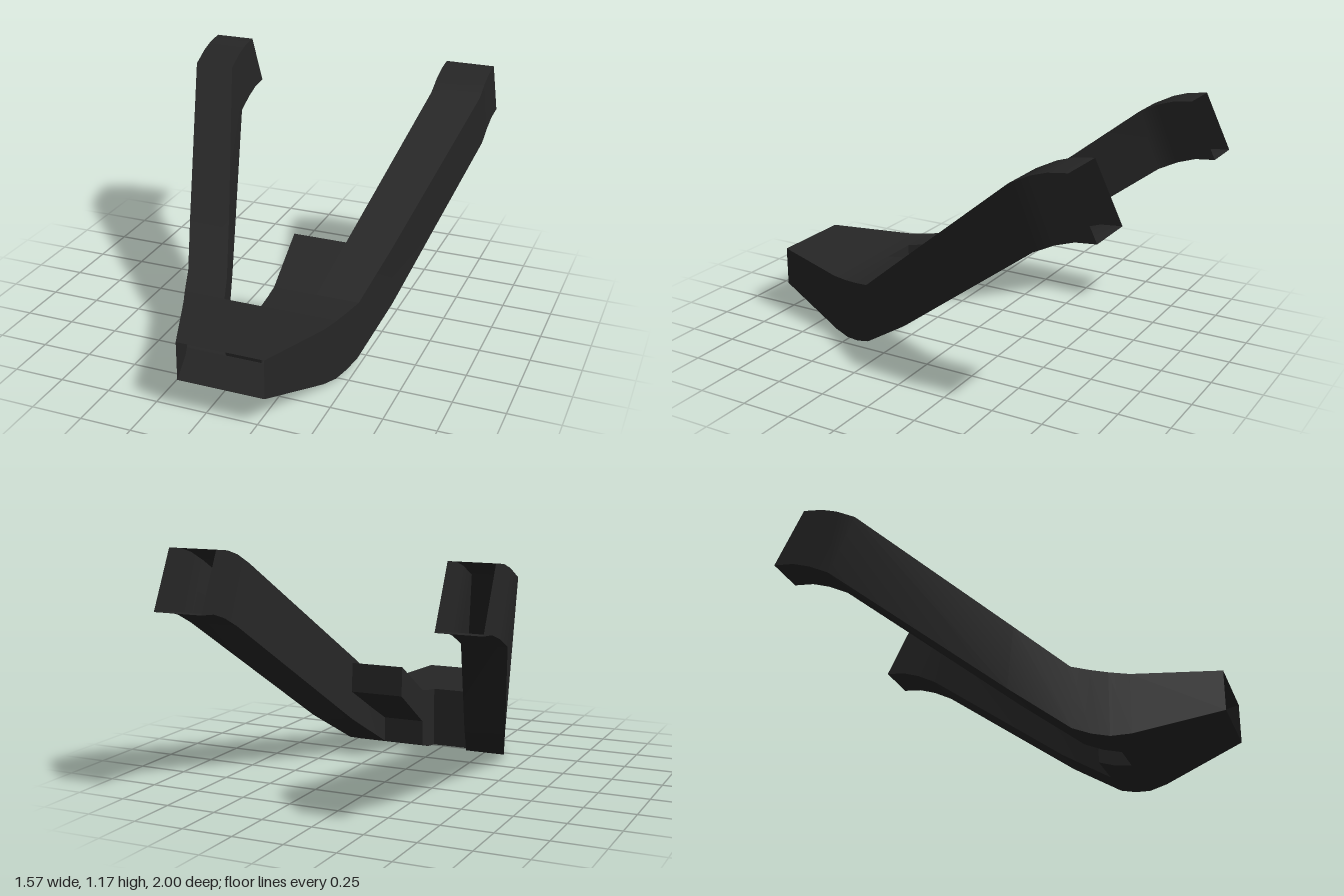
import * as THREE from 'three';

const material = new THREE.MeshStandardMaterial({ color: 0x262626, side: THREE.DoubleSide });

function meshFrom(name, positions, index) {
  const geometry = new THREE.BufferGeometry();
  geometry.setAttribute('position', new THREE.Float32BufferAttribute(positions, 3));
  geometry.setIndex(index);
  geometry.computeVertexNormals();
  const mesh = new THREE.Mesh(geometry, material);
  mesh.name = name;
  return mesh;
}

// Open rectangular sleeve through stations [x0, x1, roofZ, roofY, floorZ, floorY], front to back.
// Each of the four sides has its own vertices: sharp along its edges, smooth along its length.
function duct(name, stations) {
  const positions = [], index = [];
  const rings = stations.map(([x0, x1, rz, ry, fz, fy]) =>
    [[x0, ry, rz], [x1, ry, rz], [x1, fy, fz], [x0, fy, fz]]);
  for (let side = 0; side < 4; side++) {
    const start = positions.length / 3;
    rings.forEach((ring, i) => {
      positions.push(...ring[side], ...ring[(side + 1) % 4]);
      if (i === 0) return;
      const a = start + 2 * (i - 1);
      index.push(a, a + 1, a + 3, a, a + 3, a + 2);
    });
  }
  return meshFrom(name, positions, index);
}

// Flat panel facing backwards
function backPanel(name, x0, x1, y0, y1, zBottom, zTop) {
  return meshFrom(name,
    [x1, y0, zBottom, x0, y0, zBottom, x0, y1, zTop, x1, y1, zTop],
    [0, 1, 2, 0, 2, 3]);
}

// Side profile of the bend, roof and floor: [roofZ, roofY, floorZ, floorY]
const bend = [
  [0.51, 0.315, 0.51, 0.005],
  [0.43, 0.325, 0.43, 0.015],
  [0.35, 0.34, 0.35, 0.04],
];
// Side profile of the curved upper end of both arms
const upperEnd = [
  [-0.59, 1.09, -0.71, 0.81],
  [-0.69, 1.14, -0.81, 0.86],
  [-0.77, 1.165, -0.9, 0.89],
  [-0.865, 1.177, -1, 0.9],
];

export function createModel() {
  const model = new THREE.Group();
  model.name = 'splitDuct';

  // Wide mouth at the front
  model.add(duct('frontMouth', [
    [-0.14, 0.285, 1, 0.34, 1, 0.145],
    [-0.302, 0.411, 0.6, 0.31, 0.6, 0.02],
    [-0.34, 0.439, ...bend[0]],
  ]));

  // Wall in the fork between the branches
  model.add(backPanel('forkWall', -0.13, 0.06, 0.005, 0.315, 0.51, 0.51));

  // Right arm, bend included
  const rightInner = [-0.13, -0.16, -0.19], rightOuter = [-0.34, -0.371, -0.4];
  model.add(duct('rightArm', [
    ...bend.map((p, i) => [rightOuter[i], rightInner[i], ...p]),
    [-0.5, -0.285, 0.11, 0.532, 0.08, 0.228],
    ...upperEnd.map((p) => [-0.785, -0.575, ...p]),
  ]));

  // Left bend, wide enough for the arm and the stub
  const leftOuter = [0.439, 0.464, 0.49];
  model.add(duct('leftBend', bend.map((p, i) => [0.06, leftOuter[i], ...p])));

  // Left arm
  model.add(duct('leftArm', [
    [0.28, 0.49, ...bend[2]],
    [0.343, 0.571, 0.11, 0.532, 0.08, 0.215],
    ...upperEnd.map((p) => [0.535, 0.785, ...p]),
  ]));

  // Short closed stub on the inside of the left arm
  model.add(duct('stub', [
    [0.06, 0.285, 0.35, 0.34, 0.35, 0.17],
    [0.06, 0.342, 0.09, 0.51, 0.08, 0.36],
  ]));
  model.add(backPanel('stubEnd', 0.06, 0.342, 0.36, 0.51, 0.08, 0.09));
  model.add(backPanel('wallUnderStub', 0.06, 0.28, 0.04, 0.17, 0.35, 0.35));

  return model;
}
